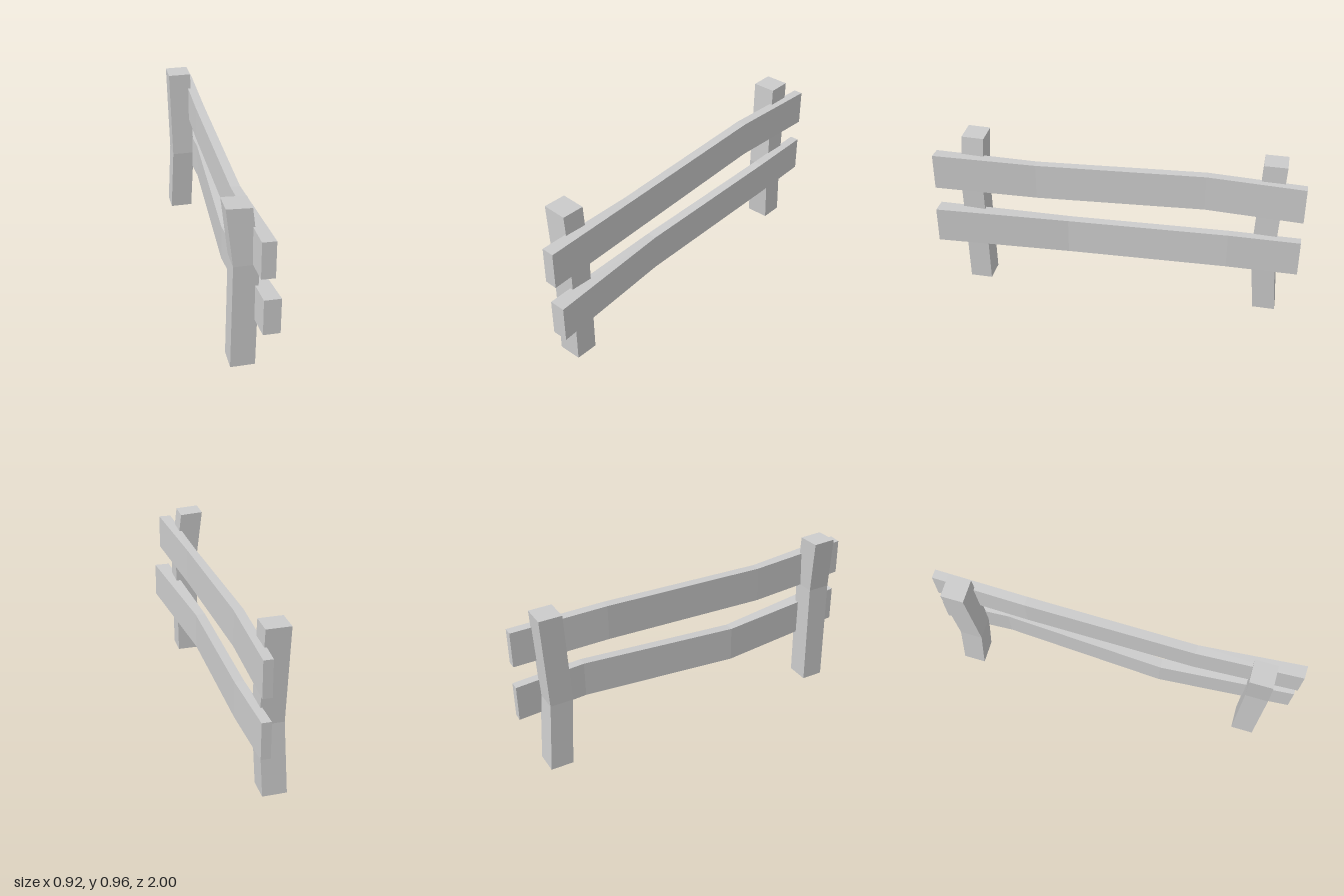
import * as THREE from 'three';

const material = new THREE.MeshStandardMaterial({ color: 0xcccccc, flatShading: true });

// Solid beam through four-cornered sections, corners anticlockwise seen from the last section
function beam(name, sections) {
  const pos = [];
  const quad = (a, b, c, d) => pos.push(...a, ...b, ...c, ...a, ...c, ...d);
  for (let s = 0; s < sections.length - 1; s++) {
    const p = sections[s], q = sections[s + 1];
    for (let i = 0; i < 4; i++) {
      const j = (i + 1) % 4;
      quad(p[i], p[j], q[j], q[i]);
    }
  }
  const [a, b, c, d] = sections[0];
  quad(d, c, b, a);
  quad(...sections[sections.length - 1]);
  const geo = new THREE.BufferGeometry();
  geo.setAttribute('position', new THREE.Float32BufferAttribute(pos, 3));
  geo.computeVertexNormals();
  const mesh = new THREE.Mesh(geo, material);
  mesh.name = name;
  return mesh;
}

// Post: turned square section at each [x, y, z] centre, with a slight tilt of the cut
const square = [[-0.0875, 0.035], [0.0375, 0.085], [0.0875, -0.035], [-0.0375, -0.085]];
const post = (name, centres) => beam(name, centres.map(([x, y, z, tilt = 0]) =>
  square.map(([dx, dz]) => [x + dx, y + dx * tilt, z + dz])));

// Rail: upright section at each [back x, back z, front x, front z, bottom y, top y]
const rail = (name, stations) => beam(name, stations.map(([bx, bz, fx, fz, y0, y1]) =>
  [[fx, y1, fz], [fx, y0, fz], [bx, y0, bz], [bx, y1, bz]]));

export function createModel() {
  const group = new THREE.Group();
  group.name = 'fence';

  // Bent posts
  group.add(post('rightPost', [
    [-0.3475, 0, 0.745], [-0.341, 0.63, 0.753], [-0.37, 0.95, 0.728, -0.06],
  ]));
  group.add(post('leftPost', [
    [0.286, 0, -0.867], [0.286, 0.41, -0.83], [0.285, 0.95, -0.857],
  ]));

  // Crooked rails
  group.add(rail('upperRail', [
    [-0.385, 0.96, -0.318, 0.99, 0.638, 0.848],
    [-0.178, 0.40, -0.13, 0.42, 0.617, 0.827],
    [0.185, -0.50, 0.235, -0.48, 0.655, 0.862],
    [0.41, -1.0, 0.458, -0.98, 0.643, 0.85],
  ]));
  group.add(rail('lowerRail', [
    [-0.367, 0.965, -0.283, 1.0, 0.30, 0.51],
    [-0.118, 0.23, -0.065, 0.25, 0.267, 0.477],
    [0.272, -0.62, 0.32, -0.60, 0.311, 0.521],
    [0.41, -1.0, 0.458, -0.98, 0.30, 0.51],
  ]));
  return group;
}
